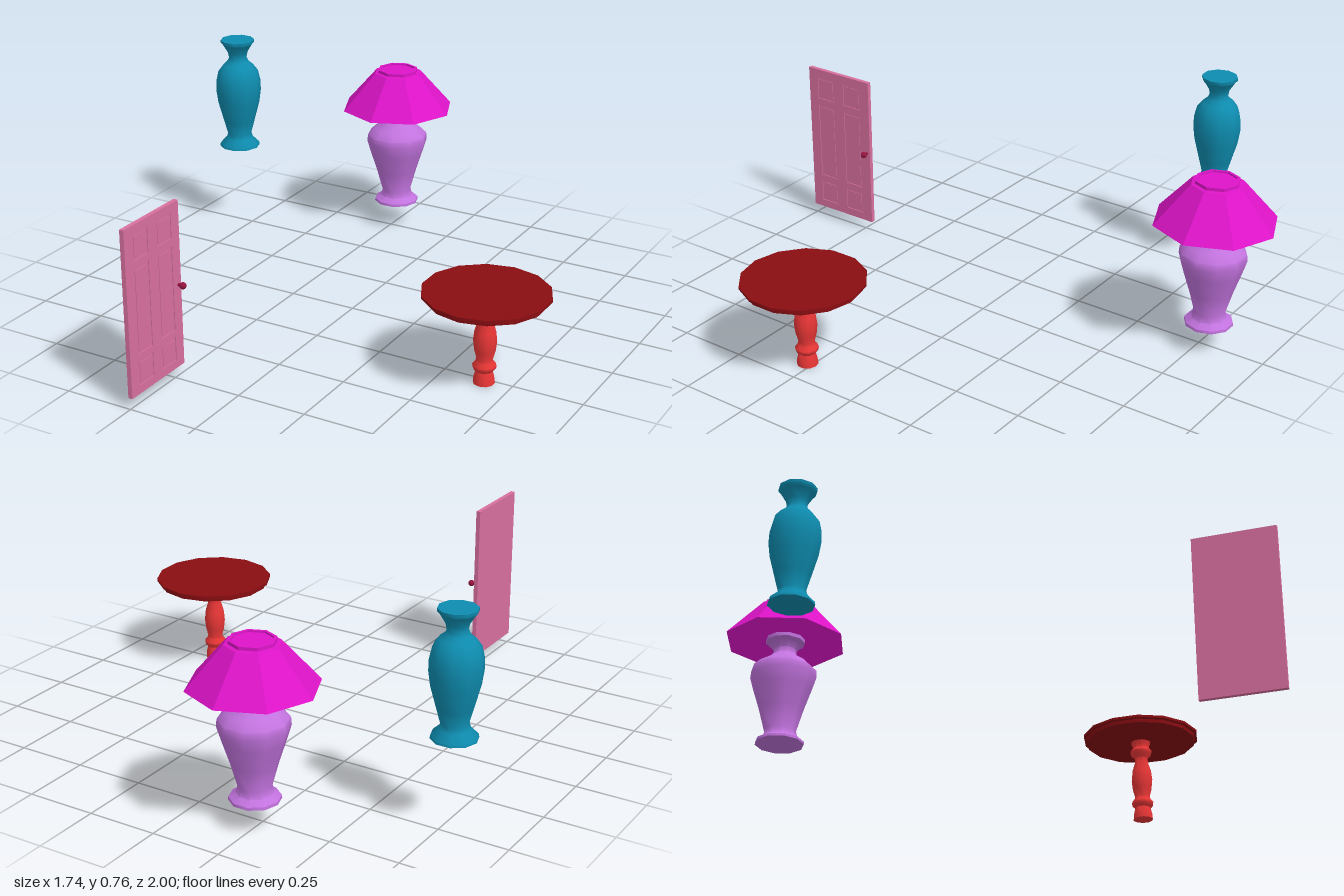
import * as THREE from 'three';
import { toCreasedNormals } from 'three/addons/utils/BufferGeometryUtils.js';

const paint = (color, extra = {}) => new THREE.MeshStandardMaterial({ color, ...extra });

function addMesh(parent, name, geometry, material) {
  const mesh = new THREE.Mesh(geometry, material);
  mesh.name = name;
  parent.add(mesh);
  return mesh;
}

// Turned shape from [radius, height] points, listed from bottom to top
function turned(points, sides, start = 0, crease = 0.85) {
  const profile = points.map(([r, y]) => new THREE.Vector2(r, y));
  return toCreasedNormals(new THREE.LatheGeometry(profile, sides, start), crease);
}

function subGroup(parent, name, x, z) {
  const group = new THREE.Group();
  group.name = name;
  group.position.set(x, 0, z);
  parent.add(group);
  return group;
}

function addVase(root) {
  const vase = subGroup(root, 'vase', -0.79, -0.485);
  addMesh(vase, 'vaseBody', turned([
    [0, 0.327], [0.078, 0.327], [0.076, 0.338], [0.052, 0.36], [0.046, 0.378],
    [0.06, 0.43], [0.08, 0.505], [0.087, 0.555], [0.086, 0.595], [0.077, 0.635],
    [0.058, 0.66], [0.04, 0.675], [0.034, 0.69], [0.038, 0.71], [0.056, 0.74],
    [0.065, 0.75], [0.065, 0.76], [0, 0.76],
  ], 10, Math.PI / 10), paint(0x0e8caf));
}

function addLamp(root) {
  const lamp = subGroup(root, 'lamp', -0.245, -0.785);
  addMesh(lamp, 'lampBase', turned([
    [0, 0.097], [0.086, 0.097], [0.085, 0.107], [0.062, 0.122], [0.056, 0.145],
    [0.078, 0.225], [0.104, 0.305], [0.118, 0.352], [0.116, 0.378], [0.09, 0.403],
    [0.056, 0.425], [0.042, 0.44], [0.041, 0.458], [0.058, 0.48], [0.07, 0.487],
    [0.07, 0.5], [0, 0.5],
  ], 10, Math.PI / 10), paint(0xc273de));

  // Eight-sided shade with a small rim on top
  addMesh(lamp, 'lampShade', turned([
    [0.2175, 0.489], [0.092, 0.632], [0.078, 0.634], [0.078, 0.645],
    [0.068, 0.645], [0.068, 0.639], [0, 0.639],
  ], 8, 0, 0.1), paint(0xdd14c8, { side: THREE.DoubleSide, flatShading: true }));
}

function addTable(root) {
  const table = subGroup(root, 'table', 0.654, 0.27);
  addMesh(table, 'tableTop', turned([
    [0, 0.307], [0.205, 0.307], [0.206, 0.32], [0.217, 0.322], [0.217, 0.331], [0, 0.331],
  ], 14), paint(0x8a0d12));

  addMesh(table, 'tableLeg', turned([
    [0, 0], [0.037, 0], [0.035, 0.02], [0.029, 0.045], [0.039, 0.055], [0.041, 0.066],
    [0.03, 0.079], [0.028, 0.09], [0.036, 0.12], [0.04, 0.155], [0.036, 0.19],
    [0.025, 0.225], [0.025, 0.243], [0.039, 0.258], [0.041, 0.27], [0.031, 0.281],
    [0.032, 0.293], [0.038, 0.308],
  ], 10), paint(0xea3636));
}

function addDoor(root) {
  const door = subGroup(root, 'door', -0.248, 0.855);
  const pink = paint(0xd9709f);
  const width = 0.29, bottom = 0.04, height = 0.587, middle = bottom + height / 2;

  // Plain backing slab
  const slab = addMesh(door, 'doorSlab', new THREE.BoxGeometry(0.013, height, width), pink);
  slab.position.set(-0.0015, middle, 0);

  // Panelled face: two columns of three recessed panels with raised fields
  const face = new THREE.Shape();
  face.moveTo(-width / 2, bottom);
  face.lineTo(width / 2, bottom);
  face.lineTo(width / 2, bottom + height);
  face.lineTo(-width / 2, bottom + height);
  const rows = [[0.07, 0.155], [0.18, 0.48], [0.507, 0.595]];
  for (const centre of [-0.063, 0.063]) {
    for (const [low, high] of rows) {
      const l = centre - 0.04, r = centre + 0.04;
      const hole = new THREE.Path();
      hole.moveTo(l, low);
      hole.lineTo(l, high);
      hole.lineTo(r, high);
      hole.lineTo(r, low);
      face.holes.push(hole);
      const field = addMesh(door, 'doorPanel',
        new THREE.BoxGeometry(0.003, high - low - 0.016, 0.064), pink);
      field.position.set(0.0055, (low + high) / 2, centre);
    }
  }
  const frame = addMesh(door, 'doorFrame',
    new THREE.ExtrudeGeometry(face, { depth: 0.003, bevelEnabled: false }), pink);
  frame.rotation.y = Math.PI / 2;
  frame.position.x = 0.005;

  // Knob on a short stem
  const red = paint(0x96143f);
  const stem = addMesh(door, 'knobStem', new THREE.CylinderGeometry(0.006, 0.006, 0.016, 8), red);
  stem.rotation.z = Math.PI / 2;
  stem.position.set(0.014, 0.333, -0.13);
  const knob = addMesh(door, 'doorKnob', new THREE.SphereGeometry(0.012, 10, 8), red);
  knob.position.set(0.026, 0.333, -0.13);
}

export function createModel() {
  const root = new THREE.Group();
  root.name = 'furnitureSet';
  addVase(root);
  addLamp(root);
  addTable(root);
  addDoor(root);
  return root;
}
